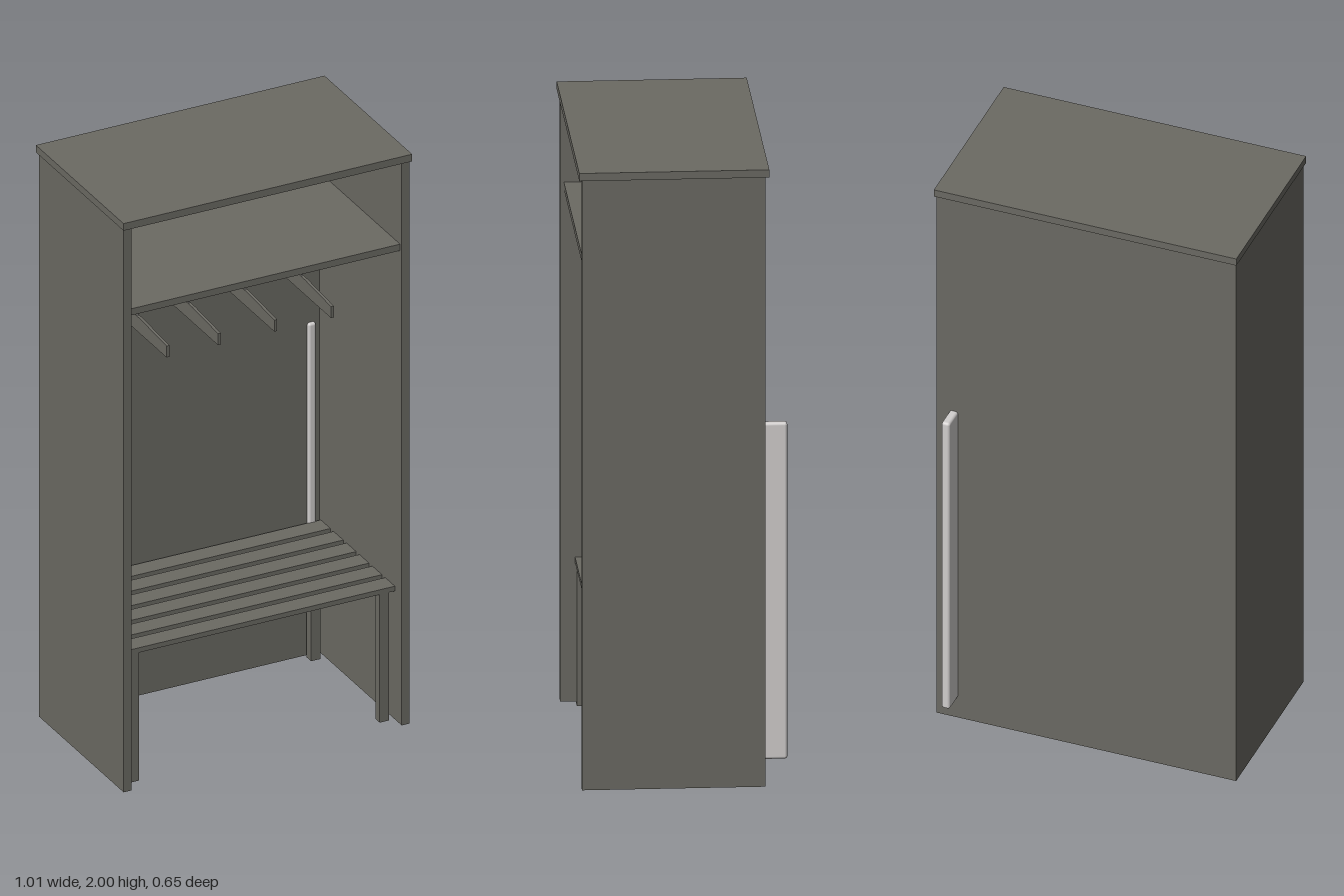
import * as THREE from 'three';
import { RoundedBoxGeometry } from 'three/addons/geometries/RoundedBoxGeometry.js';

export function createModel() {
  const model = new THREE.Group();
  model.name = 'openWardrobe';
  const panel = new THREE.MeshStandardMaterial({ color: 0x6b6a63 });
  panel.name = 'greyPanel';
  const metal = new THREE.MeshStandardMaterial({ color: 0xd2cfce });
  metal.name = 'paleMetal';

  const add = (name, geometry, material, parent = model) => {
    const mesh = new THREE.Mesh(geometry, material);
    mesh.name = name;
    parent.add(mesh);
    return mesh;
  };
  // box given by its limits on each axis
  const box = (name, [x0, x1], [y0, y1], [z0, z1]) => {
    const g = new THREE.BoxGeometry(x1 - x0, y1 - y0, z1 - z0);
    g.translate((x0 + x1) / 2, (y0 + y1) / 2, (z0 + z1) / 2);
    return add(name, g, panel);
  };

  // carcass
  box('top', [-0.505, 0.505], [1.975, 2], [-0.267, 0.325]);
  box('rightSide', [-0.5, -0.473], [0, 1.975], [-0.238, 0.316]);
  box('leftSide', [0.473, 0.5], [0, 1.975], [-0.238, 0.316]);
  box('back', [-0.5, 0.5], [0, 1.975], [-0.256, -0.238]);
  box('shelf', [-0.473, 0.473], [1.66, 1.683], [-0.238, 0.305]);

  // slatted bench
  for (let i = 0; i < 6; i++) {
    const z = 0.27 - i * 0.087;
    box('benchSlat', [-0.473, 0.473], [0.45, 0.467], [z - 0.065, z]);
  }
  for (const x of [-0.453, 0.421])
    for (const z of [-0.225, 0.238]) box('benchLeg', [x, x + 0.032], [0, 0.45], [z, z + 0.03]);

  // hanging rail
  const railY = 1.542, railZ = 0.025;
  const rail = add('rail', new THREE.CylinderGeometry(0.01, 0.01, 0.946, 20), metal);
  rail.rotation.z = Math.PI / 2;
  rail.position.set(0, railY, railZ);

  // hangers: shallow bar running front to back, with a wire hook
  const outline = new THREE.Shape();
  outline.moveTo(-0.205, 1.438);
  outline.lineTo(0.205, 1.438);
  outline.lineTo(0.205, 1.478);
  outline.lineTo(0.03, 1.49);
  outline.lineTo(-0.03, 1.49);
  outline.lineTo(-0.205, 1.478);
  const bar = new THREE.ExtrudeGeometry(outline, { depth: 0.01, bevelEnabled: false });
  bar.translate(0, 0, -0.005);
  bar.rotateY(-Math.PI / 2);
  const wirePoints = [[1.48, 0], [1.515, 0]];
  for (let i = 0; i <= 6; i++) {
    const a = -Math.PI / 2 + (i / 6) * Math.PI * 1.4;
    wirePoints.push([railY + 0.014 * Math.sin(a), 0.014 * Math.cos(a)]);
  }
  const wire = new THREE.CatmullRomCurve3(wirePoints.map(([y, z]) => new THREE.Vector3(0, y, z)));
  const hook = new THREE.TubeGeometry(wire, 32, 0.0025, 6);
  for (const x of [-0.3, -0.12, 0.077, 0.275]) {
    const hanger = new THREE.Group();
    hanger.name = 'hanger';
    hanger.position.set(x, 0, railZ);
    add('hangerBar', bar, panel, hanger);
    add('hangerHook', hook, metal, hanger);
    model.add(hanger);
  }

  // tall grip passing through the back panel
  const grip = add('grip', new RoundedBoxGeometry(0.028, 1.09, 0.1, 4, 0.009), metal);
  grip.position.set(0.443, 0.62, -0.277);

  return model;
}
